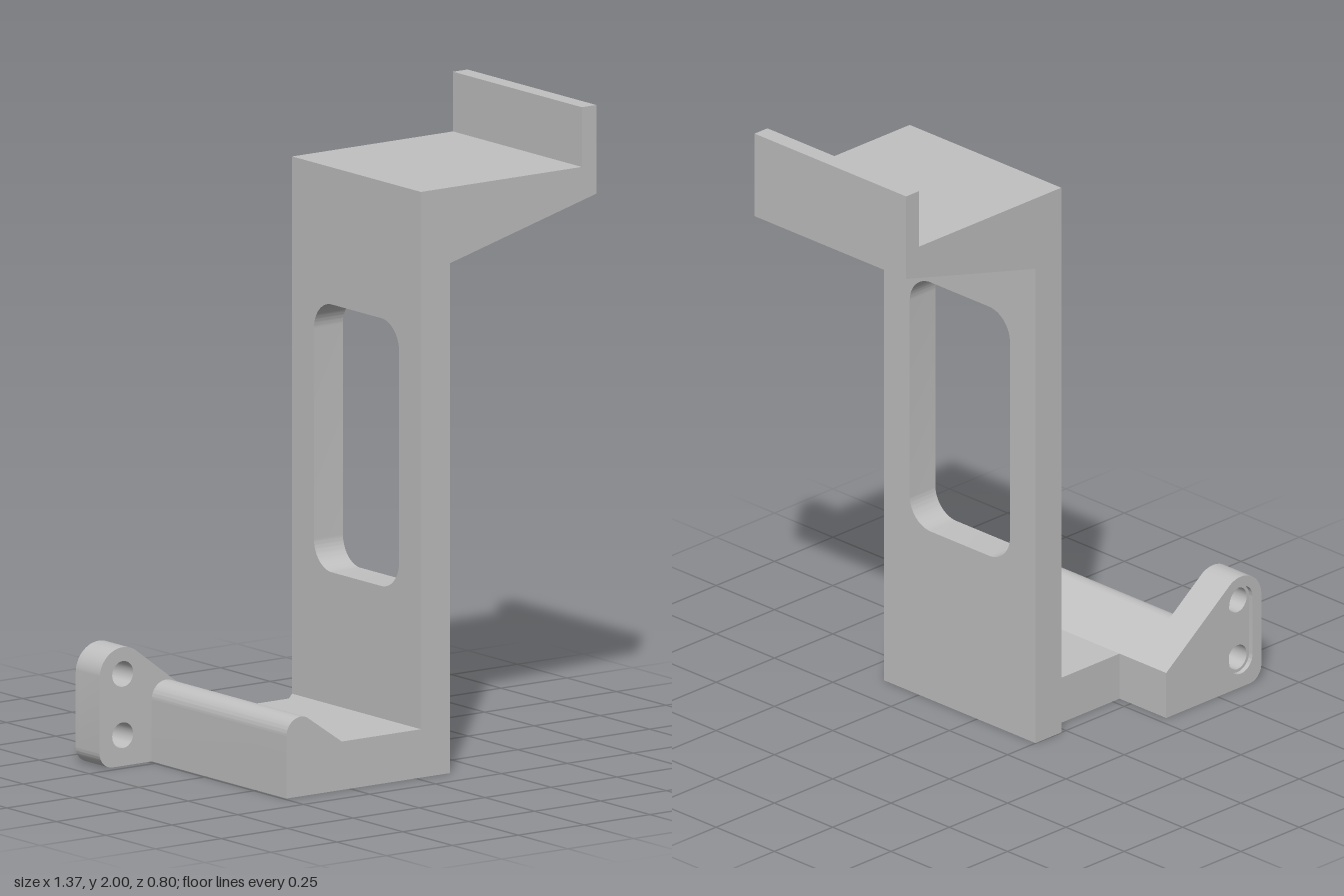
import * as THREE from 'three';
import { toCreasedNormals } from 'three/addons/utils/BufferGeometryUtils.js';

export function createModel() {
  const group = new THREE.Group();
  const grey = new THREE.MeshStandardMaterial({ color: 0xc0c0c0 });
  grey.name = 'plain grey';

  const polygon = (points) => new THREE.Shape(points.map(([x, y]) => new THREE.Vector2(x, y)));

  const extrude = (shape, depth) =>
    new THREE.ExtrudeGeometry(shape, { depth, bevelEnabled: false, curveSegments: 12 });

  const add = (name, geometry) => {
    const mesh = new THREE.Mesh(toCreasedNormals(geometry, 0.6), grey);
    mesh.name = name;
    group.add(mesh);
  };

  // Profile in x and y, swept from the back to the front
  const addProfile = (name, shape, back, front) =>
    add(name, extrude(shape, front - back).translate(0, 0, back));

  // Upright panel with a rounded window, drawn in z and y
  const panel = polygon([[-0.25, 0], [0.4, 0], [0.4, 1.58], [-0.25, 1.58]]);
  const [z0, z1, y0, y1, r] = [-0.14, 0.29, 0.56, 1.39, 0.09];
  const opening = new THREE.Path();
  opening.absarc(z1 - r, y1 - r, r, 0, Math.PI / 2);
  opening.absarc(z0 + r, y1 - r, r, Math.PI / 2, Math.PI);
  opening.absarc(z0 + r, y0 + r, r, Math.PI, Math.PI * 1.5);
  opening.absarc(z1 - r, y0 + r, r, Math.PI * 1.5, Math.PI * 2);
  opening.closePath();
  panel.holes.push(opening);
  add('upright', extrude(panel, 0.11).rotateY(-Math.PI / 2).translate(0.13, 0, 0));

  // Tapered top arm with its upturned end
  addProfile('topArm', polygon([
    [0.02, 1.58], [0.13, 1.58], [0.685, 1.725], [0.685, 2],
    [0.63, 2], [0.63, 1.815], [0.02, 1.815],
  ]), -0.25, 0.4);

  // Foot plate, drawn in plan with a notched back edge (x, -z)
  const foot = polygon([[-0.28, -0.4], [0.02, -0.4], [0.02, 0.25], [-0.03, 0.2], [-0.28, 0.2]]);
  add('footPlate', extrude(foot, 0.15).rotateX(-Math.PI / 2));

  // Raised lip with a rounded outer edge and a sloping inner face
  const lip = new THREE.Shape();
  lip.moveTo(-0.28, 0);
  lip.lineTo(-0.28, 0.15);
  lip.lineTo(-0.41, 0.24);
  lip.quadraticCurveTo(-0.42, 0.247, -0.435, 0.247);
  lip.absarc(-0.435, 0.192, 0.055, Math.PI / 2, Math.PI);
  lip.lineTo(-0.49, 0);
  addProfile('footLip', lip, -0.28, 0.4);
  // Flat end of the lip that steps back beside the foot notch
  addProfile('lipStep', polygon([[-0.405, 0], [-0.28, 0], [-0.28, 0.15], [-0.405, 0.237]]), -0.3, -0.2);

  // Mounting lug
  const lugShape = () => {
    const s = new THREE.Shape();
    s.moveTo(-0.28, 0);
    s.lineTo(-0.28, 0.15);
    s.lineTo(-0.55, 0.352);
    s.absarc(-0.6, 0.28, 0.088, 0.96, Math.PI);
    s.lineTo(-0.688, 0.05);
    s.absarc(-0.638, 0.05, 0.05, Math.PI, Math.PI * 1.5);
    return s;
  };
  const holeY = [0.095, 0.285];
  const lugBody = lugShape();
  for (const y of holeY) {
    const hole = new THREE.Path();
    hole.absarc(-0.6, y, 0.04, 0, Math.PI * 2);
    lugBody.holes.push(hole);
  }
  addProfile('lugBody', lugBody, -0.385, -0.28);

  // Shallow slot around the holes on the back of the lug
  const lugBack = lugShape();
  const slot = new THREE.Path();
  slot.absarc(-0.6, holeY[1], 0.05, 0, Math.PI);
  slot.absarc(-0.6, holeY[0], 0.05, Math.PI, Math.PI * 2);
  slot.closePath();
  lugBack.holes.push(slot);
  addProfile('lugSlotRim', lugBack, -0.4, -0.385);

  return group;
}
